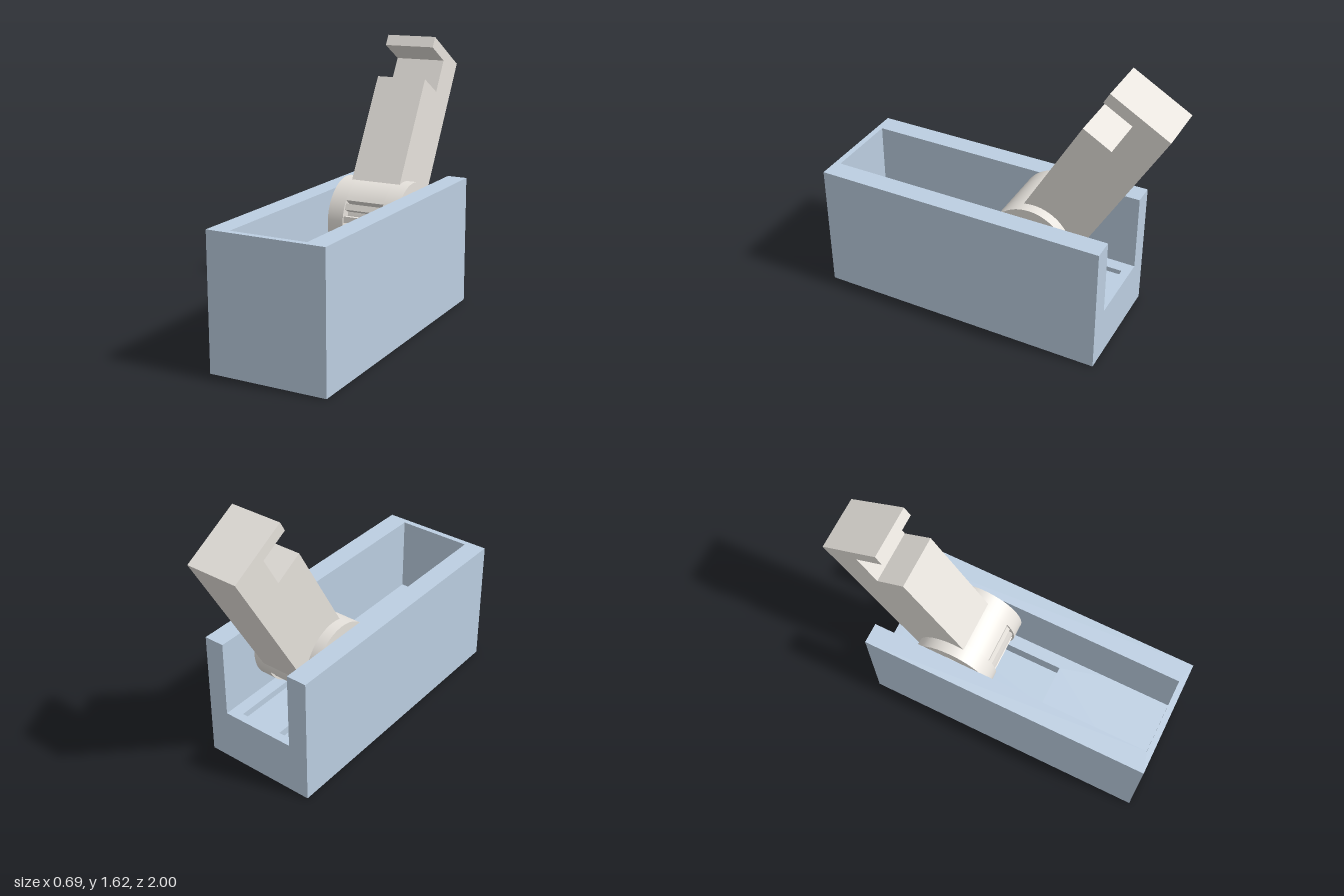
import * as THREE from 'three';
import { toCreasedNormals } from 'three/addons/utils/BufferGeometryUtils.js';

const RAD = Math.PI / 180;
const HUB = { y: 0.586, z: -0.253, radius: 0.239 };

function polygon(points) {
  return new THREE.Shape(points.map(([a, b]) => new THREE.Vector2(a, b)));
}

// Rectangle outline in plan (counter-clockwise), given as x and z ranges
function planRect(x0, x1, z0, z1) {
  return [[x0, -z1], [x1, -z1], [x1, -z0], [x0, -z0]];
}

// Horizontal slab from a plan outline with holes, between two heights
function slab(name, outline, holes, y0, y1, material) {
  const shape = polygon(outline);
  shape.holes = holes.map((h) => polygon(h));
  const geo = new THREE.ExtrudeGeometry(shape, { depth: y1 - y0, bevelEnabled: false });
  geo.rotateX(-Math.PI / 2);
  geo.translate(0, y0, 0);
  const mesh = new THREE.Mesh(geo, material);
  mesh.name = name;
  return mesh;
}

// Side profile (z, y) extruded across x, centred
function sideExtrude(name, points, width, material) {
  let geo = new THREE.ExtrudeGeometry(polygon(points), { depth: width, bevelEnabled: false });
  geo.translate(0, 0, -width / 2);
  geo.rotateY(-Math.PI / 2);
  geo = toCreasedNormals(geo, 15 * RAD);
  const mesh = new THREE.Mesh(geo, material);
  mesh.name = name;
  return mesh;
}

// Cylinder lying along x
function disc(name, radius, width, x, material) {
  const geo = new THREE.CylinderGeometry(radius, radius, width, 60);
  geo.rotateZ(Math.PI / 2);
  const mesh = new THREE.Mesh(geo, material);
  mesh.name = name;
  mesh.position.x = x;
  return mesh;
}

export function createModel() {
  const blue = new THREE.MeshStandardMaterial({ color: 0xbccee1 });
  blue.name = 'trayBlue';
  const beige = new THREE.MeshStandardMaterial({ color: 0xe6e2dc });
  beige.name = 'leverBeige';

  const model = new THREE.Group();
  model.name = 'leverInTray';

  // Tray: hollow base, slotted floor, walls open at the back
  const tray = new THREE.Group();
  tray.name = 'tray';
  const X = 0.347, BACK = -0.73, FRONT = 1, IN = 0.225;
  const outer = planRect(-X, X, BACK, FRONT);
  tray.add(slab('trayBase', outer, [planRect(-0.15, 0.15, -0.68, 0.28)], 0, 0.265, blue));
  const slots = [[-0.15, -0.115], [0.115, 0.15]].map(([a, b]) => planRect(a, b, -0.68, 0.28));
  tray.add(slab('slottedFloor', outer, slots, 0.265, 0.31, blue));
  const walls = [
    [-X, -BACK], [-X, -FRONT], [X, -FRONT], [X, -BACK],
    [IN, -BACK], [IN, -0.965], [-IN, -0.965], [-IN, -BACK],
  ];
  tray.add(slab('trayWalls', walls, [], 0.31, 0.775, blue));
  model.add(tray);

  // Lever pivots about the hub centre
  const lever = new THREE.Group();
  lever.name = 'lever';
  lever.position.set(0, HUB.y, HUB.z);

  // Hub rims and side bosses
  for (const side of [-1, 1]) {
    lever.add(disc('hubRim', HUB.radius, 0.097, side * 0.1685, beige));
    lever.add(disc('pivotBoss', 0.166, 0.025, side * 0.2225, beige));
  }

  // Hub middle: plain arc on top, gear teeth set into the lower half
  const profile = [];
  const polar = (deg, r) => profile.push([r * Math.cos(deg * RAD), r * Math.sin(deg * RAD)]);
  for (let a = 36; a <= 204; a += 6) polar(a, HUB.radius);
  const teeth = 10, pitch = 192 / teeth;
  for (let i = 0; i < teeth; i++) {
    const a = 204 + i * pitch;
    polar(a, 0.18);
    polar(a + pitch * 0.25, 0.18);
    polar(a + pitch * 0.3, 0.228);
    polar(a + pitch * 0.78, 0.228);
    polar(a + pitch * 0.83, 0.18);
  }
  polar(395.9, 0.18);
  lever.add(sideExtrude('hubGear', profile, 0.24, beige));

  // Arm with a hooked notch at its tip, leaning back
  const arm = sideExtrude('leverArm', [
    [-0.223, 0], [0.164, 0], [0.164, 0.832], [-0.025, 0.832],
    [-0.025, 1.037], [0.164, 1.037], [0.164, 1.105], [-0.223, 1.105],
  ], 0.31, beige);
  arm.rotation.x = -30 * RAD;
  lever.add(arm);

  model.add(lever);
  return model;
}
